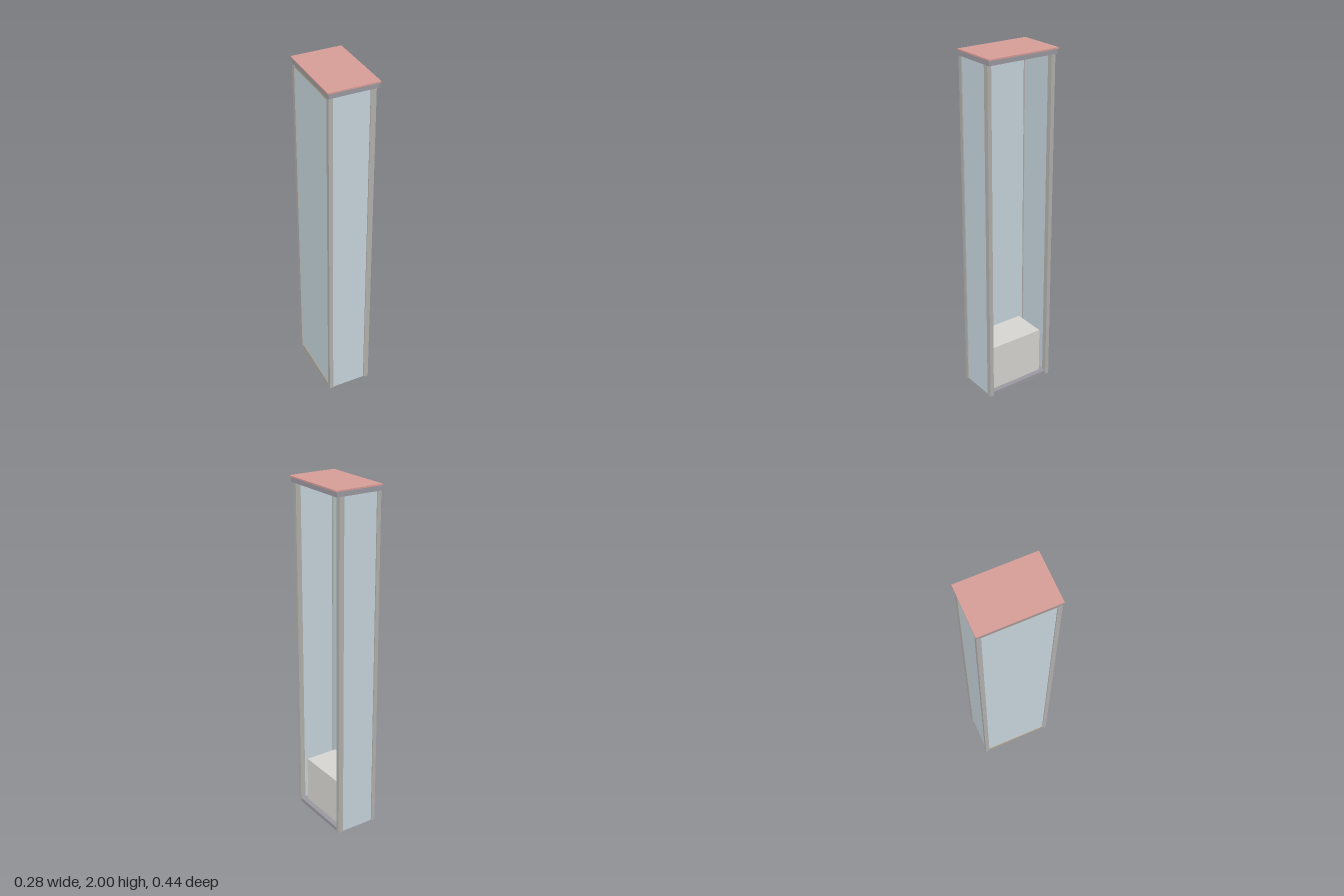
import * as THREE from 'three';

export function createModel() {
  const model = new THREE.Group();
  const mat = (color) => new THREE.MeshStandardMaterial({ color });
  const frame = mat(0xb0afac), slab = mat(0x9a98a0), glass = mat(0xc5d3da);
  const red = mat(0xd59c96), stone = mat(0xd6d4cf), tan = mat(0xb5a58a);

  // box given by its minimum and maximum on each axis
  function box(name, material, [x0, x1], [y0, y1], [z0, z1]) {
    const mesh = new THREE.Mesh(new THREE.BoxGeometry(x1 - x0, y1 - y0, z1 - z0), material);
    mesh.position.set((x0 + x1) / 2, (y0 + y1) / 2, (z0 + z1) / 2);
    mesh.name = name;
    model.add(mesh);
  }

  // floor tray and roof
  box('floor', slab, [-0.128, 0.115], [0.003, 0.022], [-0.203, 0.203]);
  box('roofSlab', slab, [-0.137, 0.135], [1.965, 1.992], [-0.214, 0.214]);
  box('roofCover', red, [-0.142, 0.142], [1.992, 2], [-0.218, 0.218]);

  // corner posts and end panels, mirrored front to back
  for (const s of [1, -1]) {
    const end = s > 0 ? 'front' : 'back';
    const span = (a, b) => (s > 0 ? [a, b] : [-b, -a]);
    box(end + 'RightPost', frame, [-0.137, -0.114], [0, 1.965], span(0.19, 0.214));
    box(end + 'LeftPost', frame, [0.09, 0.12], [0, 1.965], span(0.19, 0.214));
    box(end + 'Panel', glass, [-0.115, 0.091], [0, 1.965], span(0.196, 0.208));
  }

  // closed long side with its slim rails; the opposite side stays open
  box('sidePanel', glass, [-0.131, -0.118], [0.01, 1.955], [-0.191, 0.191]);
  box('lowerRail', tan, [-0.134, -0.118], [0.003, 0.018], [-0.191, 0.191]);
  box('upperRail', tan, [-0.134, -0.118], [1.95, 1.965], [-0.191, 0.191]);

  // low threshold along the open side
  box('threshold', slab, [0.107, 0.119], [0.003, 0.026], [-0.191, 0.191]);

  // bench against the closed side
  box('bench', stone, [-0.118, 0.085], [0.021, 0.3], [-0.168, 0.168]);

  return model;
}
